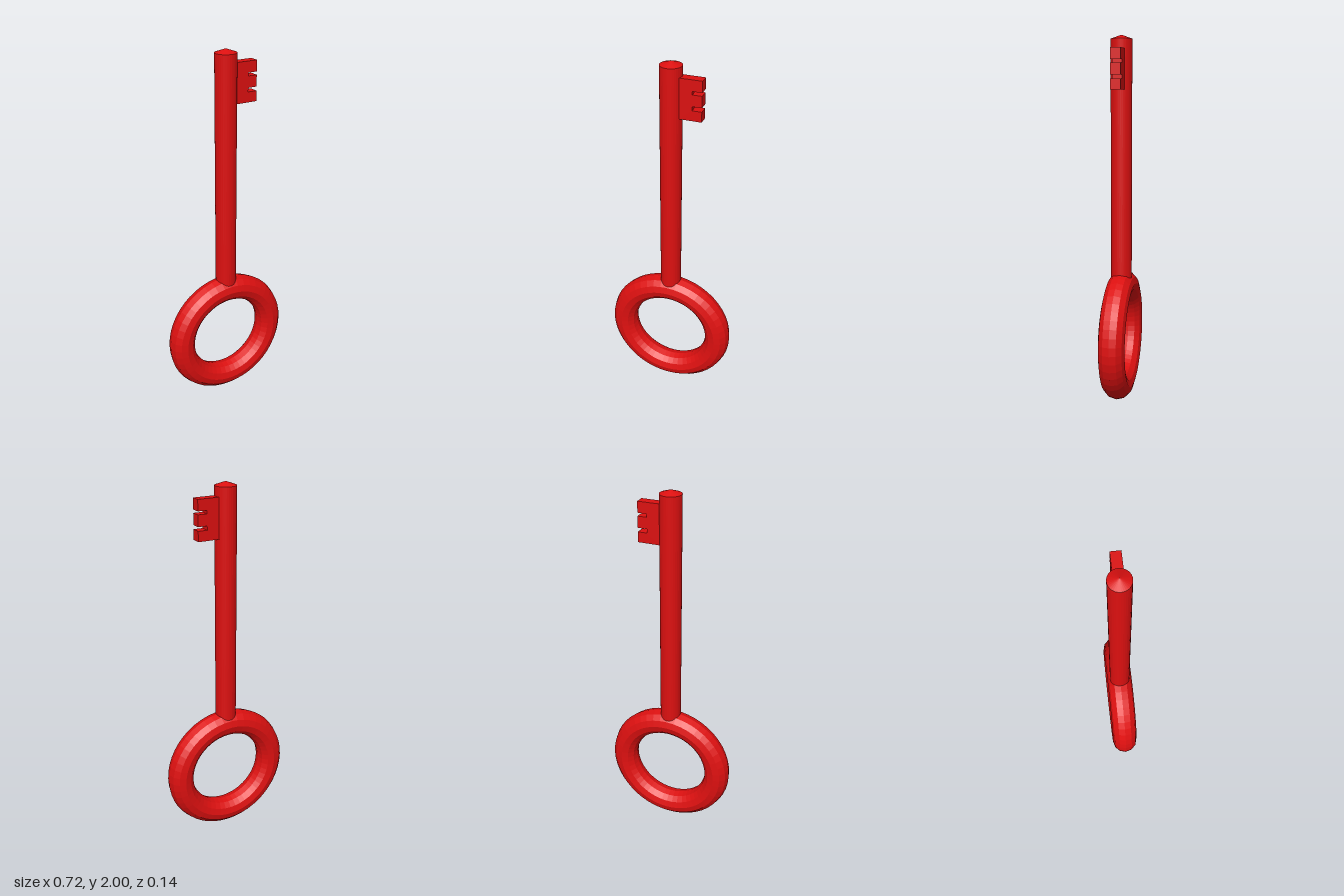
import * as THREE from 'three';

export function createModel() {
  const key = new THREE.Group();
  key.name = 'key';
  const red = new THREE.MeshStandardMaterial({ color: 0xdd1010, flatShading: true });
  red.name = 'red';

  const add = (name, geometry, y = 0) => {
    const mesh = new THREE.Mesh(geometry, red);
    mesh.name = name;
    mesh.position.y = y;
    key.add(mesh);
    return mesh;
  };

  // Ring handle
  const ringRadius = 0.289, tube = 0.072, ringY = 0.362;
  add('ringHandle', new THREE.TorusGeometry(ringRadius, tube, 12, 48), ringY);

  // Round shaft, its lower end buried in the ring, with a shallow conical tip
  const shaftRadius = 0.057, shaftBottom = 0.65, shaftTop = 1.98;
  add('shaft',
    new THREE.CylinderGeometry(shaftRadius, shaftRadius, shaftTop - shaftBottom, 32, 1, true),
    (shaftTop + shaftBottom) / 2);
  add('shaftTip', new THREE.ConeGeometry(shaftRadius, 0.02, 32, 1, true), shaftTop + 0.01);

  // Toothed bit: a plate with two notches cut into its outer edge
  const inner = 0.04, notch = 0.117, outer = 0.167, depth = 0.052;
  const outline = [
    [inner, 1.72], [outer, 1.72],
    [outer, 1.774], [notch, 1.774], [notch, 1.795], [outer, 1.795],
    [outer, 1.855], [notch, 1.855], [notch, 1.872], [outer, 1.872],
    [outer, 1.93], [inner, 1.93],
  ].map(([x, y]) => new THREE.Vector2(x, y));
  const bit = new THREE.ExtrudeGeometry(new THREE.Shape(outline), { depth, bevelEnabled: false });
  bit.translate(0, 0, -depth / 2);
  add('toothedBit', bit);

  return key;
}
